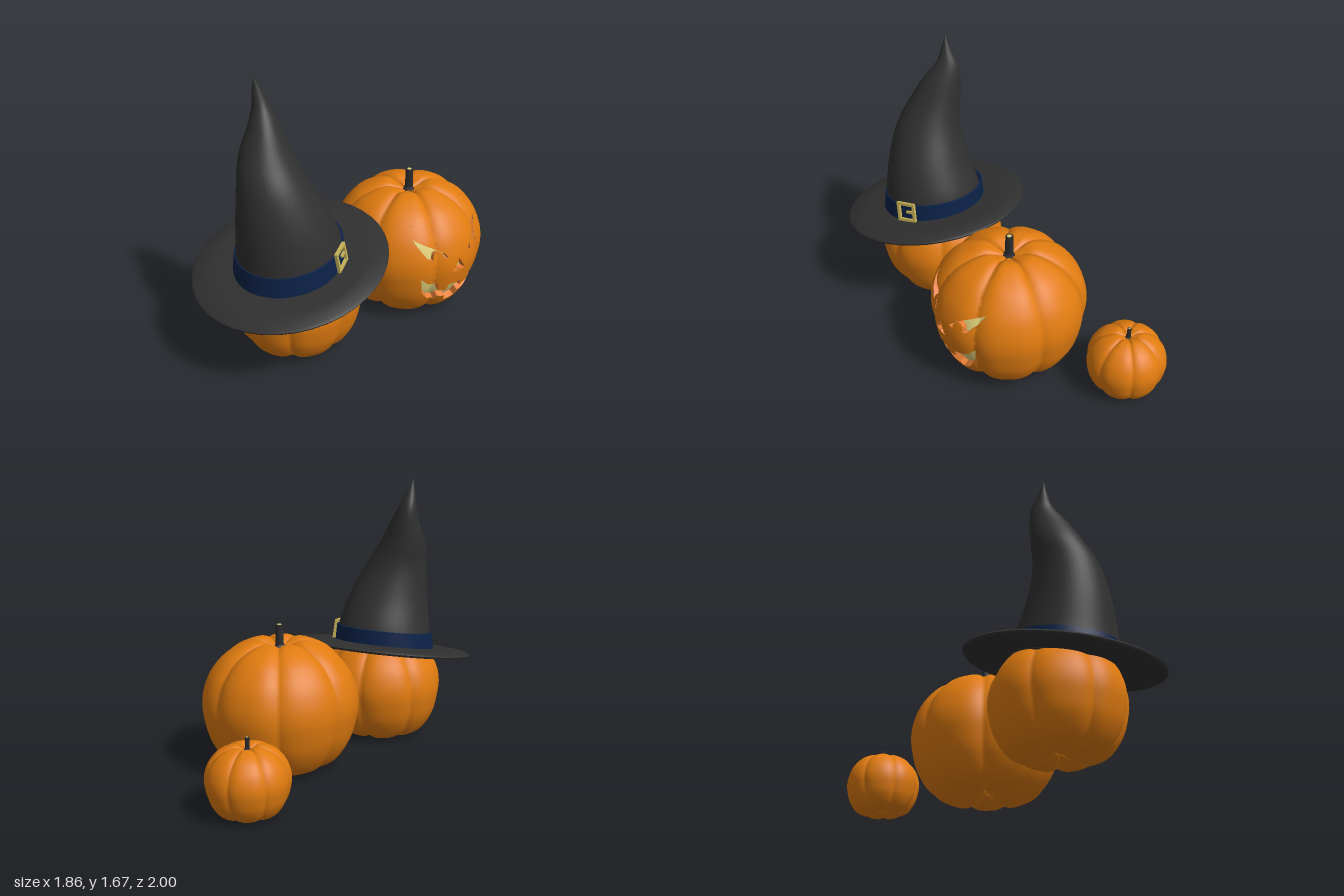
import * as THREE from 'three';
import { toCreasedNormals } from 'three/addons/utils/BufferGeometryUtils.js';

const mat = (name, color, side = THREE.FrontSide) => {
  const m = new THREE.MeshStandardMaterial({ color, side });
  m.name = name;
  return m;
};
const R = 0.47, H = 0.77, RIBS = 7;

// Pumpkin profile, bottom to top: radius and height as fractions
const profile = new THREE.SplineCurve([
  [0.005, 0.06], [0.2, 0.03], [0.45, 0], [0.6, 0.025], [0.76, 0.09], [0.91, 0.24], [0.98, 0.4], [1, 0.52],
  [0.97, 0.64], [0.88, 0.77], [0.7, 0.9], [0.48, 0.975], [0.3, 1], [0.15, 0.97], [0.005, 0.93],
].map(p => new THREE.Vector2(...p)));

// Ribbed skin point at angle u (0 = +z) and profile position t
function skin(u, t, inset = 0) {
  const p = profile.getPoint(t);
  const c = Math.abs(Math.sin(RIBS * (u - 0.1) / 2 + Math.PI / 2));
  const k = (1 - 0.055 * (1 - c) ** 2) * (1 - inset / R);
  const r = p.x * R * k;
  return new THREE.Vector3(Math.sin(u) * r, H * (0.5 + (p.y - 0.5) * k), Math.cos(u) * r);
}

// Maps (u, t) pairs onto the skin with smooth normals
function onSkin(uv, index, inset) {
  const pos = [], nor = [], e = 1e-3;
  for (const [u, t] of uv) {
    const t0 = Math.max(t - e, 0), t1 = Math.min(t + e, 1);
    const du = skin(u + e, t, inset).sub(skin(u - e, t, inset));
    const dt = skin(u, t1, inset).sub(skin(u, t0, inset));
    pos.push(...skin(u, t, inset));
    nor.push(...du.cross(dt).normalize());
  }
  const g = new THREE.BufferGeometry();
  g.setAttribute('position', new THREE.Float32BufferAttribute(pos, 3));
  g.setAttribute('normal', new THREE.Float32BufferAttribute(nor, 3));
  if (index) g.setIndex(index);
  return g;
}

function skinGrid(u0, u1, t0, t1, nu, nt, inset = 0) {
  const uv = [], index = [];
  for (let j = 0; j <= nt; j++)
    for (let i = 0; i <= nu; i++) uv.push([u0 + (u1 - u0) * i / nu, t0 + (t1 - t0) * j / nt]);
  for (let j = 0; j < nt; j++)
    for (let i = 0; i < nu; i++) {
      const a = j * (nu + 1) + i, b = a + nu + 1;
      index.push(a, a + 1, b + 1, a, b + 1, b);
    }
  return onSkin(uv, index, inset);
}

// Splits a flat triangle until it is small enough to follow the skin
function refine(tri, out) {
  const len = i => Math.hypot(tri[i][0] - tri[(i + 1) % 3][0], 2 * (tri[i][1] - tri[(i + 1) % 3][1]));
  const l = [0, 1, 2].map(len), i = l.indexOf(Math.max(...l));
  if (l[i] < 0.06) return out.push(...tri);
  const a = tri[i], b = tri[(i + 1) % 3], c = tri[(i + 2) % 3];
  const m = [(a[0] + b[0]) / 2, (a[1] + b[1]) / 2];
  refine([a, m, c], out);
  refine([m, b, c], out);
}

// Face point (x across, y up) to skin coordinates
function toSkin([x, y]) {
  let lo = 3 / 14, hi = 11 / 14;
  for (let i = 0; i < 30; i++) {
    const mid = (lo + hi) / 2;
    if (profile.getPoint(mid).y * H < y) lo = mid; else hi = mid;
  }
  return new THREE.Vector2(Math.asin(x / (profile.getPoint(lo).x * R)), lo);
}

// Carved openings; each eye has a round pupil left standing
const eye = [[-0.26, 0.6], [-0.195, 0.465], [-0.175, 0.465]];
for (let i = 0; i <= 6; i++) {
  const a = Math.PI * (0.95 - i * 0.95 / 6);
  eye.push([-0.14 + 0.034 * Math.cos(a), 0.478 + 0.038 * Math.sin(a)]);
}
eye.push([-0.108, 0.462], [-0.078, 0.465], [-0.1, 0.5], [-0.17, 0.545]);
const openings = [
  eye, eye.map(([x, y]) => [-x, y]),
  [[-0.05, 0.36], [-0.015, 0.362], [0, 0.372], [0.015, 0.362], [0.05, 0.36], [0, 0.445]],
  [[-0.25, 0.35], [-0.2, 0.3], [-0.13, 0.278], [-0.125, 0.228], [-0.07, 0.22], [-0.06, 0.265], [0.03, 0.262],
    [0.04, 0.22], [0.1, 0.228], [0.11, 0.275], [0.2, 0.3], [0.25, 0.35], [0.228, 0.24], [0.175, 0.165],
    [0.12, 0.135], [0.11, 0.17], [0.055, 0.162], [0.045, 0.118], [-0.045, 0.118], [-0.055, 0.162],
    [-0.11, 0.17], [-0.12, 0.135], [-0.175, 0.165], [-0.228, 0.24]],
];

// Walls of an opening, from the skin inward
function wallGeometry(outline, depth) {
  const pos = [];
  outline.forEach((a, i) => {
    const b = outline[(i + 1) % outline.length];
    for (let k = 0; k < 3; k++) {
      const p = a.clone().lerp(b, k / 3), q = a.clone().lerp(b, (k + 1) / 3);
      const [A, B] = [skin(p.x, p.y), skin(q.x, q.y)];
      const [C, D] = [skin(q.x, q.y, depth), skin(p.x, p.y, depth)];
      pos.push(...A, ...B, ...C, ...A, ...C, ...D);
    }
  });
  const g = new THREE.BufferGeometry();
  g.setAttribute('position', new THREE.Float32BufferAttribute(pos, 3));
  g.computeVertexNormals();
  return g;
}

// Closed rings {x, y, z, rx, rz, gx, gz} joined upward; gx and gz tilt a ring
function loft(rings, n, crease) {
  const pos = [], index = [];
  for (const r of rings)
    for (let i = 0; i < n; i++) {
      const a = i / n * Math.PI * 2, dx = r.rx * Math.sin(a), dz = r.rz * Math.cos(a);
      pos.push(r.x + dx, r.y + r.gx * dx + r.gz * dz, r.z + dz);
    }
  for (let j = 0; j < rings.length - 1; j++)
    for (let i = 0; i < n; i++) {
      const a = j * n + i, b = j * n + (i + 1) % n;
      index.push(a, b, b + n, a, b + n, a + n);
    }
  const g = new THREE.BufferGeometry();
  g.setAttribute('position', new THREE.Float32BufferAttribute(pos, 3));
  g.setIndex(index);
  g.computeVertexNormals();
  return crease ? toCreasedNormals(g, crease) : g;
}

export function createModel() {
  const orange = mat('pumpkinOrange', 0xe07b10), flesh = mat('cutFlesh', 0xee8238, THREE.DoubleSide);
  const glow = mat('paleYellow', 0xe0d07a), felt = mat('blackFelt', 0x303030, THREE.DoubleSide);
  const stemGrey = mat('stemGrey', 0x2c2c30), navy = mat('navyBand', 0x0c2248, THREE.DoubleSide);
  const gold = mat('buckleGold', 0xc9b458);
  const model = new THREE.Group();
  const add = (parent, name, geo, m) => {
    const mesh = new THREE.Mesh(geo, m);
    mesh.name = name;
    parent.add(mesh);
    return mesh;
  };

  function pumpkin(name, x, z, scale, turn, carved) {
    const g = new THREE.Group();
    g.name = name;
    const W = 0.8, t0 = toSkin([0, 0.06]).y, t1 = toSkin([0, 0.665]).y;
    if (!carved) add(g, 'skin', skinGrid(0, Math.PI * 2, 0, 1, 98, 40), orange);
    else {
      add(g, 'skinBack', skinGrid(W, Math.PI * 2 - W, 0, 1, 76, 40), orange);
      add(g, 'skinBelowFace', skinGrid(-W, W, 0, t0, 26, 12), orange);
      add(g, 'skinAboveFace', skinGrid(-W, W, t1, 1, 26, 14), orange);
      // Face panel with real openings
      const v = (a, b) => new THREE.Vector2(a, b);
      const shape = new THREE.Shape([v(-W, t0), v(W, t0), v(W, t1), v(-W, t1)]);
      const outlines = openings.map(o => o.map(toSkin));
      shape.holes = outlines.map(o => new THREE.Path(o));
      const flat = new THREE.ShapeGeometry(shape).toNonIndexed().attributes.position;
      const uv = [];
      for (let i = 0; i < flat.count; i += 3)
        refine([0, 1, 2].map(k => [flat.getX(i + k), flat.getY(i + k)]), uv);
      add(g, 'facePanel', onSkin(uv), orange);
      outlines.forEach(o => add(g, 'openingWall', wallGeometry(o, 0.04), flesh));
      add(g, 'glowingInside', skinGrid(-W, W, t0, t1, 30, 20, 0.038), glow);
    }
    const stem = add(g, 'stem', new THREE.CylinderGeometry(0.024, 0.026, 0.16, 7), stemGrey);
    stem.position.set(0.002, 0.785, 0);
    const foot = add(g, 'stemFoot', new THREE.CylinderGeometry(0.025, 0.045, 0.035, 7), stemGrey);
    foot.position.y = 0.73;
    const cut = add(g, 'stemCut', new THREE.CylinderGeometry(0.014, 0.014, 0.004, 7), glow);
    cut.position.set(0.002, 0.865, 0);
    g.position.set(x, 0, z);
    g.rotation.y = turn;
    g.scale.setScalar(scale);
    model.add(g);
  }
  pumpkin('carvedPumpkin', 0.405, -0.07, 1, 0.59, true);
  pumpkin('hattedPumpkin', -0.335, 0.385, 0.84, 0.2, false);
  pumpkin('smallPumpkin', 0.69, -0.765, 0.5, 1.1, false);

  const hat = new THREE.Group();
  hat.name = 'hat';
  model.add(hat);

  // Brim: thin tilted disc
  const brim = [[0.27, -0.012], [0.45, -0.012], [0.565, -0.016], [0.572, -0.004], [0.56, 0.008], [0.45, 0.014], [0.3, 0.02]];
  add(hat, 'brim', loft(brim.map(([r, y]) => (
    { x: -0.365, y: 0.565 + y, z: 0.425, rx: r, rz: r, gx: 0.14, gz: -0.15 })), 40, 0.9), felt);

  // Bent cone: height, centre x and z, radii across x and z
  const cone = [
    [0.55, -0.37, 0.43, 0.32, 0.32], [0.7, -0.375, 0.445, 0.3, 0.295], [0.9, -0.41, 0.467, 0.255, 0.248],
    [1.1, -0.455, 0.46, 0.195, 0.2], [1.25, -0.483, 0.415, 0.148, 0.16], [1.4, -0.482, 0.365, 0.09, 0.115],
    [1.5, -0.49, 0.33, 0.055, 0.07], [1.58, -0.508, 0.333, 0.033, 0.034], [1.67, -0.525, 0.34, 0.002, 0.002]];
  const path = pts => new THREE.CatmullRomCurve3(pts, false, 'catmullrom');
  const centre = path(cone.map(c => new THREE.Vector3(c[1], c[0], c[2])));
  const size = path(cone.map(c => new THREE.Vector3(c[3], 0, c[4])));
  const rings = [];
  for (let i = 0; i <= 32; i++) {
    const c = centre.getPoint(i / 32), s = size.getPoint(i / 32);
    const fade = Math.min(1, Math.max(0, (1.4 - c.y) / 0.7));
    rings.push({ x: c.x, y: c.y, z: c.z, rx: s.x, rz: s.z, gx: 0.13 * fade, gz: -0.11 * fade });
  }
  add(hat, 'cone', loft(rings, 40), felt);

  // Band around the foot of the cone
  const band = [[0.57, 0.315], [0.572, 0.326], [0.685, 0.314], [0.688, 0.298]];
  add(hat, 'band', loft(band.map(([y, r]) => (
    { x: -0.371, y, z: 0.434, rx: r, rz: r, gx: 0.13, gz: -0.11 })), 40, 0.7), navy);

  // Buckle: square frame with a prong
  const buckle = new THREE.Group();
  buckle.name = 'buckle';
  const square = (C, h) => new C([[-h, -h], [h, -h], [h, h], [-h, h]].map(p => new THREE.Vector2(...p)));
  const frame = square(THREE.Shape, 0.064);
  frame.holes.push(square(THREE.Path, 0.046));
  add(buckle, 'frame', new THREE.ExtrudeGeometry(frame, { depth: 0.018, bevelEnabled: false }), gold);
  add(buckle, 'prong', new THREE.BoxGeometry(0.05, 0.016, 0.014), gold).position.set(0.025, 0.002, 0.008);
  const a = 1.1;
  buckle.position.set(-0.371 + 0.315 * Math.sin(a), 0.662, 0.434 + 0.315 * Math.cos(a));
  buckle.rotation.set(-0.12, a, 0.14, 'YXZ');
  hat.add(buckle);
  return model;
}
